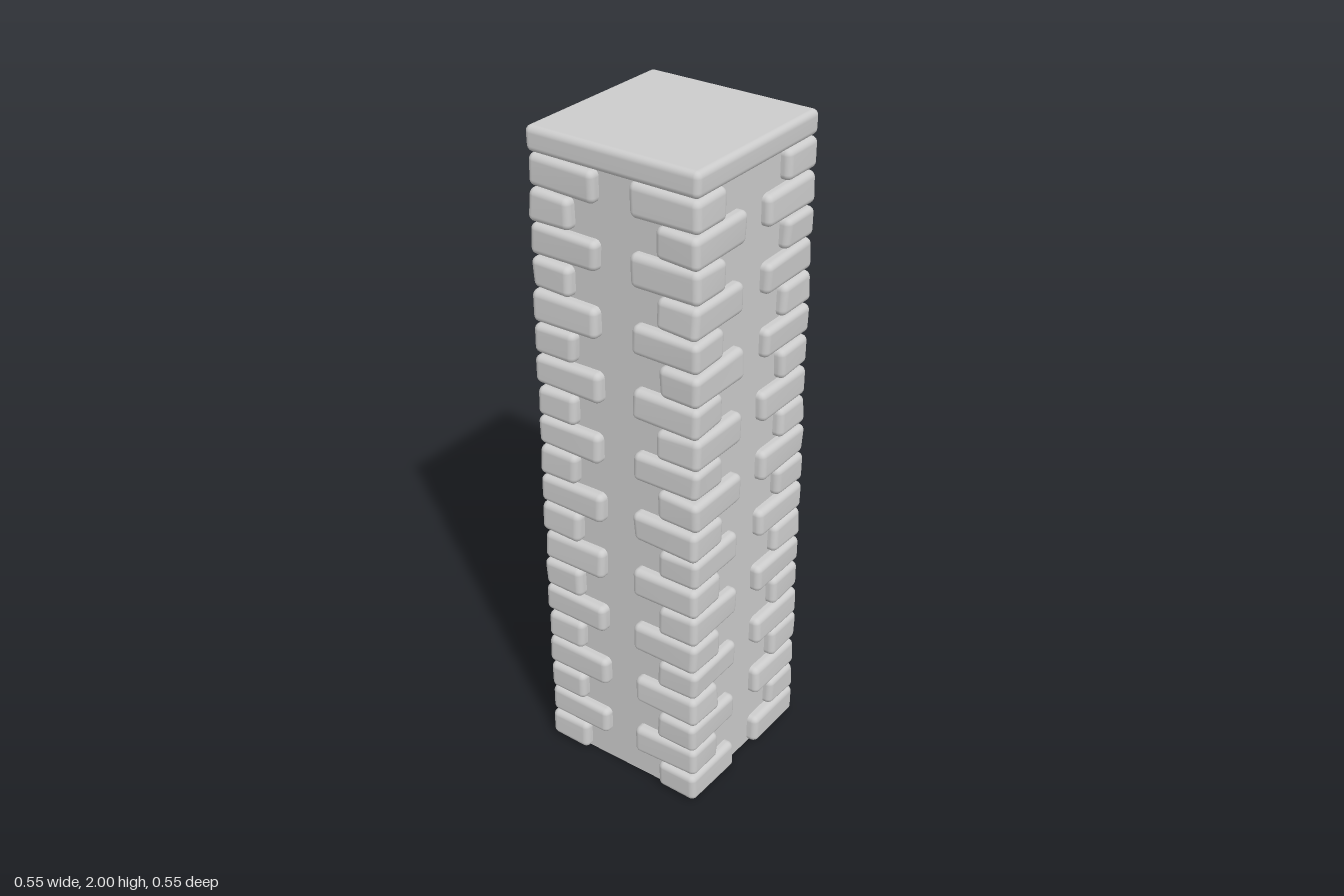
import * as THREE from 'three';
import { RoundedBoxGeometry } from 'three/addons/geometries/RoundedBoxGeometry.js';
import { mergeVertices } from 'three/addons/utils/BufferGeometryUtils.js';

const ROWS = 20, HALF = 0.27, CORE = 0.24, CAP_BOTTOM = 1.93;

function seeded(seed) {
  let s = seed;
  return () => {
    s = (s * 16807) % 2147483647;
    return (s / 2147483647) * 2 - 1;
  };
}

// Rounded block whose eight corners are each nudged, so it looks hand-cut
function stoneGeometry(w, h, d, radius, rand, jitter) {
  let geo = new RoundedBoxGeometry(w, h, d, 4, radius);
  geo.deleteAttribute('normal');
  geo.deleteAttribute('uv');
  geo = mergeVertices(geo, 1e-5);
  const corners = Array.from({ length: 8 }, () =>
    new THREE.Vector3(rand() * jitter.x, rand() * jitter.y, rand() * jitter.z));
  const pos = geo.attributes.position;
  const p = new THREE.Vector3(), shift = new THREE.Vector3();
  for (let i = 0; i < pos.count; i++) {
    p.fromBufferAttribute(pos, i);
    const u = p.x / w + 0.5, v = p.y / h + 0.5, t = p.z / d + 0.5;
    shift.set(0, 0, 0);
    corners.forEach((c, k) => {
      const weight = (k & 1 ? u : 1 - u) * (k & 2 ? v : 1 - v) * (k & 4 ? t : 1 - t);
      shift.addScaledVector(c, weight);
    });
    p.add(shift);
    pos.setXYZ(i, p.x, p.y, p.z);
  }
  geo.computeVertexNormals();
  return geo;
}

export function createModel() {
  const model = new THREE.Group();
  model.name = 'stonePillar';
  const material = new THREE.MeshStandardMaterial({ color: 0xcccccc });
  const rand = seeded(4127);

  const add = (parent, geo, name, x, y, z) => {
    const mesh = new THREE.Mesh(geo, material);
    mesh.name = name;
    mesh.position.set(x, y, z);
    parent.add(mesh);
  };

  // Plain square shaft behind the corner stones
  const coreHeight = CAP_BOTTOM + 0.01;
  add(model, new THREE.BoxGeometry(CORE * 2, coreHeight, CORE * 2), 'core', 0, coreHeight / 2, 0);

  // Corner stones, long side alternating between the two faces row by row
  const pitch = CAP_BOTTOM / ROWS;
  const jitter = new THREE.Vector3(0.004, 0.004, 0.004);
  for (const sx of [-1, 1]) {
    for (const sz of [-1, 1]) {
      const column = new THREE.Group();
      column.name = `${sz > 0 ? 'front' : 'back'}${sx > 0 ? 'Left' : 'Right'}CornerStones`;
      for (let row = 0; row < ROWS; row++) {
        const alongX = row % 2 === 0;
        const long = 0.217 + rand() * 0.004, short = 0.132 + rand() * 0.004;
        const w = alongX ? long : short, d = alongX ? short : long;
        const h = pitch - 0.005;
        const geo = stoneGeometry(w, h, d, 0.019, rand, jitter);
        const y = Math.max(pitch * (row + 0.5), h / 2 + 0.005);
        add(column, geo, 'cornerStone', sx * (HALF - w / 2), y, sz * (HALF - d / 2));
      }
      model.add(column);
    }
  }

  // Flat slab on top
  const capHeight = 2 - CAP_BOTTOM;
  const capGeo = stoneGeometry(HALF * 2, capHeight, HALF * 2, 0.018, rand,
    new THREE.Vector3(0.002, 0.001, 0.002));
  add(model, capGeo, 'capSlab', 0, CAP_BOTTOM + capHeight / 2, 0);

  return model;
}
